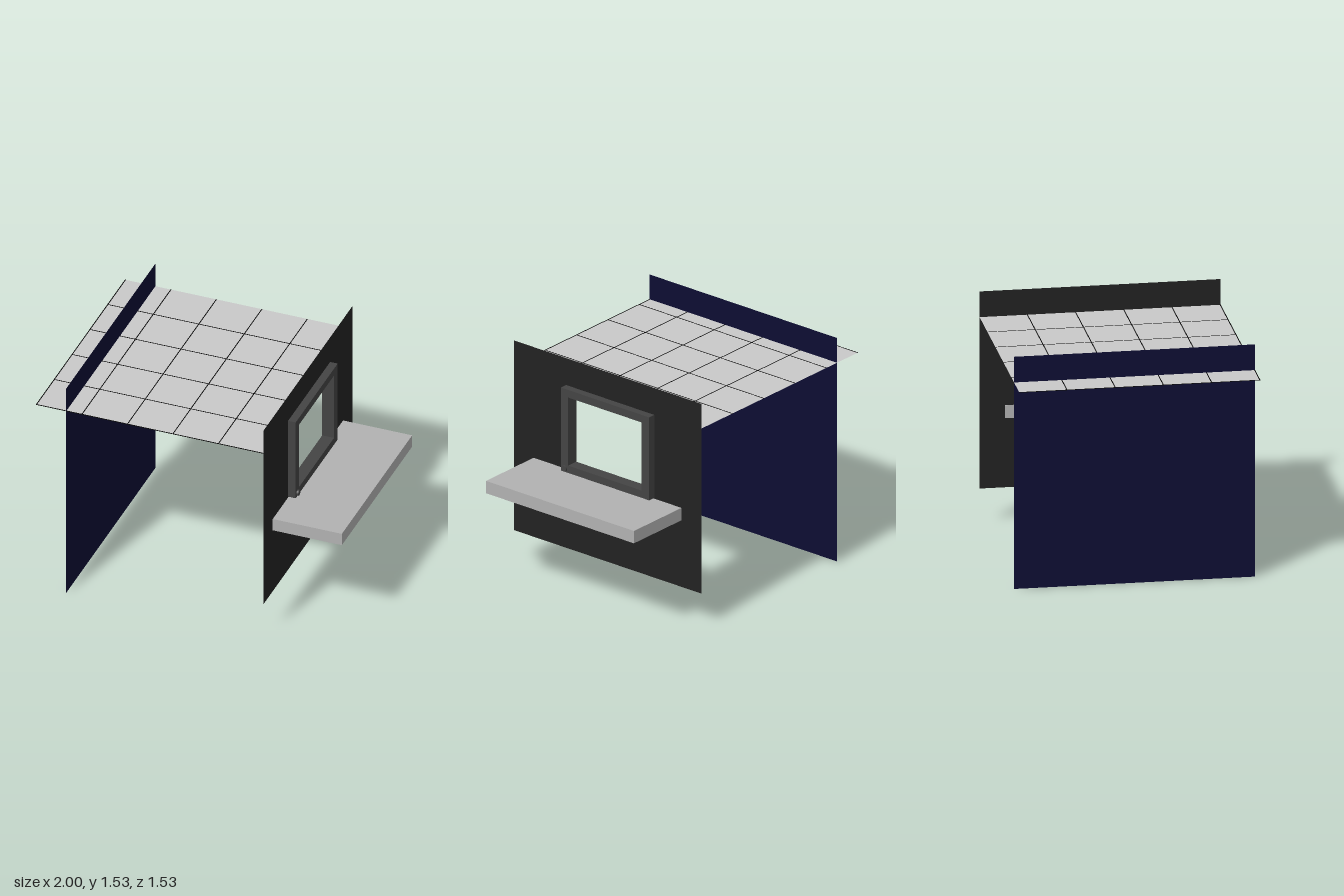
import * as THREE from 'three';

const material = (name, color, side = THREE.FrontSide) => {
  const m = new THREE.MeshStandardMaterial({ color, side });
  m.name = name;
  return m;
};

// Rectangle outline in the side plane: u runs along z, v along y.
const rect = (Type, u0, u1, v0, v1) => new Type([
  new THREE.Vector2(u0, v0), new THREE.Vector2(u1, v0),
  new THREE.Vector2(u1, v1), new THREE.Vector2(u0, v1),
]);

export function createModel() {
  const group = new THREE.Group();
  const navy = material('navy', 0x0d0d33, THREE.DoubleSide);
  const charcoal = material('charcoal', 0x222222, THREE.DoubleSide);
  const tileGrey = material('tile grey', 0xc9c9c9, THREE.DoubleSide);
  const shelfGrey = material('shelf grey', 0xb2b2b2);
  const frameGrey = material('frame grey', 0x444444);
  const black = material('joint black', 0x080808);

  const add = (name, geometry, mat, x = 0, y = 0, z = 0) => {
    const mesh = new THREE.Mesh(geometry, mat);
    mesh.name = name;
    mesh.position.set(x, y, z);
    group.add(mesh);
    return mesh;
  };

  const half = 0.767, top = 1.535, wallX = 0.534, ceilingY = 1.365;
  const opening = [-0.32, 0.28, 0.83, 1.298];

  // Walls: thin sheets, the right one with a window opening
  add('plainWall', new THREE.PlaneGeometry(half * 2, top).rotateY(-Math.PI / 2), navy, -0.795, top / 2);
  const wall = rect(THREE.Shape, -half, half, 0.232, top);
  wall.holes.push(rect(THREE.Path, ...opening));
  add('windowWall', new THREE.ShapeGeometry(wall).rotateY(-Math.PI / 2), charcoal, wallX);

  // Tiled ceiling sheet with dark joints
  const side = half * 2, pitch = side / 5, joint = 0.006;
  const midX = -1 + side / 2;
  add('ceiling', new THREE.PlaneGeometry(side, side).rotateX(-Math.PI / 2), tileGrey, midX, ceilingY);
  for (let i = 0; i < 5; i++) {
    add('ceilingJointAcross', new THREE.BoxGeometry(joint, 0.002, side), black,
      -1 + i * pitch + joint / 2, ceilingY);
    add('ceilingJointAlong', new THREE.BoxGeometry(side, 0.002, joint), black,
      midX, ceilingY, -half + (i + 1) * pitch - joint / 2);
  }

  // Window frame, passing through the wall
  const frame = rect(THREE.Shape, -0.383, 0.34, 0.78, 1.35);
  frame.holes.push(rect(THREE.Path, ...opening));
  add('windowFrame', new THREE.ExtrudeGeometry(frame, { depth: 0.08, bevelEnabled: false })
    .rotateY(-Math.PI / 2), frameGrey, 0.585);

  // Small round button on the frame's lower corner
  add('frameButton', new THREE.CylinderGeometry(0.02, 0.02, 0.02, 16).rotateZ(Math.PI / 2),
    frameGrey, 0.587, 0.805, 0.308);

  // Counter shelf below the window
  add('shelf', new THREE.BoxGeometry(0.47, 0.085, 1.21), shelfGrey, 0.765, 0.732, 0);

  return group;
}
